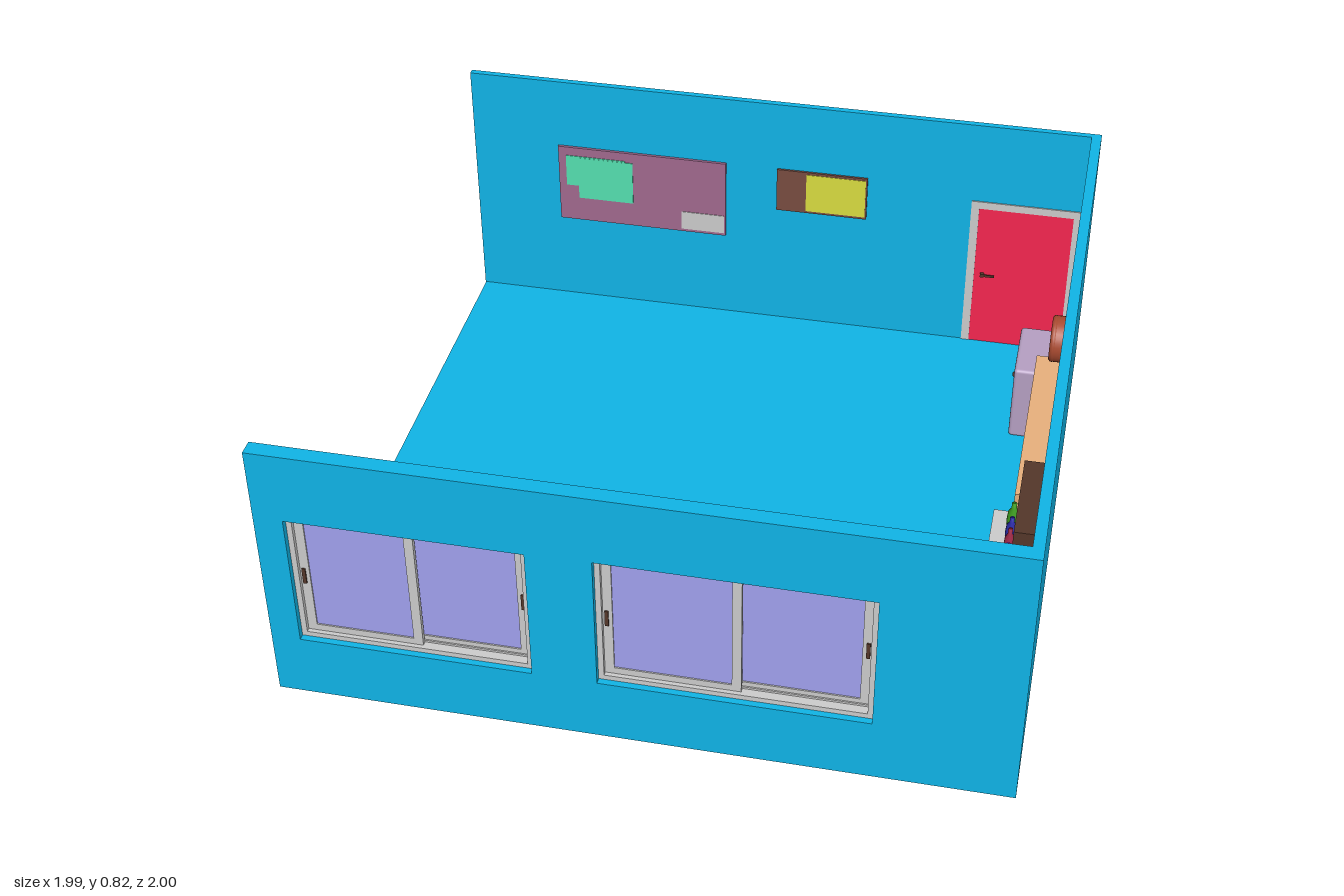
import * as THREE from 'three';
import { RoundedBoxGeometry } from 'three/addons/geometries/RoundedBoxGeometry.js';

const mats = {};
const mat = (c) => (mats[c] ??= new THREE.MeshStandardMaterial({ color: c }));
const BLUE = 0x10b4e6, GREY = 0xcccccc, GLASS = 0xa0a0ee, TAN = 0xe8b07c;
const BROWN = 0x54372a, BLACK = 0x0c0c0c, RED = 0xf52650;

function add(parent, name, geometry, color) {
  const m = new THREE.Mesh(geometry, mat(color));
  m.name = name;
  parent.add(m);
  return m;
}

// Box given by its limits on each axis
function box(parent, name, color, x0, x1, y0, y1, z0, z1) {
  const m = add(parent, name, new THREE.BoxGeometry(x1 - x0, y1 - y0, z1 - z0), color);
  m.position.set((x0 + x1) / 2, (y0 + y1) / 2, (z0 + z1) / 2);
  return m;
}

function rect(target, x0, x1, y0, y1) {
  target.moveTo(x0, y0).lineTo(x1, y0).lineTo(x1, y1).lineTo(x0, y1).closePath();
  return target;
}

// Upright panel in the XY plane with rectangular openings
function panel(parent, name, color, outer, holes, z0, z1) {
  const shape = rect(new THREE.Shape(), ...outer);
  holes.forEach((h) => shape.holes.push(rect(new THREE.Path(), ...h)));
  const m = add(parent, name, new THREE.ExtrudeGeometry(shape, { depth: z1 - z0, bevelEnabled: false }), color);
  m.position.z = z0;
  return m;
}

// Sliding window: outer frame, rail and two sashes with pulls
function slidingWindow(parent, name, x0, x1, y0, y1) {
  const g = new THREE.Group();
  g.name = name;
  parent.add(g);
  const t = 0.015, mid = (x0 + x1) / 2;
  panel(g, 'windowFrame', GREY, [x0, x1, y0, y1], [[x0 + t, x1 - t, y0 + t, y1 - t]], 0.93, 0.982);
  box(g, 'slidingRail', GREY, x0 + t, x1 - t, y0 + t, y0 + t + 0.006, 0.953, 0.957);
  const sashes = [[x0 + t, mid + 0.015, 0.957], [mid - 0.015, x1 - t, 0.94]];
  sashes.forEach(([a, b, z], i) => {
    const inner = [a + 0.025, b - 0.025, y0 + 0.035, y1 - 0.025];
    panel(g, 'sash', GREY, [a, b, y0 + t, y1 - t], [inner], z, z + 0.013);
    box(g, 'glass', GLASS, ...inner, z + 0.004, z + 0.009);
    const px = i ? b - 0.01 : a + 0.01, cy = (y0 + y1) / 2;
    box(g, 'pull', BROWN, px - 0.005, px + 0.005, cy - 0.025, cy + 0.025, z - 0.004, z + 0.017);
  });
}

function buildShell(g) {
  const openings = [[-0.92, -0.285, 0.2, 0.61], [-0.11, 0.61, 0.2, 0.615]];
  box(g, 'floor', BLUE, -0.998, 0.98, 0, 0.02, -0.98, 0.99);
  panel(g, 'frontWall', BLUE, [-1, 0.99, 0.01, 0.82], openings, 0.955, 1);
  box(g, 'sideWall', BLUE, 0.96, 0.99, 0.01, 0.82, -0.99, 0.956);
  box(g, 'backWall', BLUE, -1, 0.961, 0.01, 0.82, -0.99, -0.97);
  box(g, 'windowLedge', BLUE, -1, 0.61, 0.02, 0.195, 0.915, 0.956);
  openings.forEach((o, i) => slidingWindow(g, i ? 'leftWindow' : 'rightWindow', ...o));
}

function buildDoor(g) {
  const d = new THREE.Group();
  d.name = 'door';
  g.add(d);
  for (const [a, b] of [[0.615, 0.64], [0.935, 0.96]])
    box(d, 'doorJamb', GREY, a, b, 0.01, 0.55, -0.998, -0.966);
  box(d, 'doorLintel', GREY, 0.64, 0.935, 0.525, 0.55, -0.998, -0.966);
  box(d, 'doorLeaf', RED, 0.64, 0.935, 0.01, 0.525, -0.993, -0.968);
  // Lever handles on both faces
  for (const [a, b, s] of [[-1, -0.992, -0.9985], [-0.969, -0.958, -0.96]]) {
    box(d, 'handleStem', BROWN, 0.66, 0.672, 0.274, 0.286, a, b);
    box(d, 'handleLever', BROWN, 0.66, 0.705, 0.276, 0.284, s - 0.0015, s + 0.0015);
  }
}

function buildNoticeBoards(g) {
  box(g, 'largeNoticeBoard', 0xa0688e, -0.72, -0.17, 0.32, 0.59, -0.97, -0.961);
  box(g, 'greenSheet', 0x54e0b0, -0.695, -0.5, 0.45, 0.56, -0.961, -0.959);
  box(g, 'greenSheet', 0x54e0b0, -0.655, -0.475, 0.405, 0.555, -0.961, -0.9585);
  box(g, 'greySheet', GREY, -0.315, -0.175, 0.33, 0.395, -0.961, -0.959);
  box(g, 'smallNoticeBoard', 0x784c40, -0.005, 0.285, 0.44, 0.59, -0.97, -0.963);
  box(g, 'yellowSheet', 0xd8dc40, 0.09, 0.28, 0.448, 0.582, -0.963, -0.9615);
}

function buildClock(g) {
  const c = new THREE.Group();
  c.name = 'wallClock';
  const disc = (name, r, h, y, color) => {
    add(c, name, new THREE.CylinderGeometry(r, r, h, 32), color).position.y = y;
  };
  disc('clockBody', 0.067, 0.025, 0.0125, 0xa84a30);
  const rim = add(c, 'clockRim', new THREE.TorusGeometry(0.058, 0.01, 10, 32), 0xa84a30);
  rim.rotation.x = Math.PI / 2;
  rim.position.y = 0.03;
  disc('clockFace', 0.05, 0.004, 0.027, 0x8c8c8c);
  for (const [angle, length] of [[0, 0.04], [2, 0.028]]) {
    const hand = add(c, 'clockHand', new THREE.BoxGeometry(length, 0.003, 0.006).translate(length / 2, 0.031, 0), BLACK);
    hand.rotation.y = angle;
  }
  c.rotation.z = Math.PI / 2; // face towards -x
  c.position.set(0.96, 0.56, -0.267);
  g.add(c);
}

// Framed dark panel hung on the side wall, facing -x
function wallScreen(g, name, color, x0, y0, y1, z0, z1, t, recess) {
  const s = new THREE.Group();
  s.name = name;
  g.add(s);
  box(s, 'frameTop', color, x0, 0.96, y1 - t, y1, z0, z1);
  box(s, 'frameBottom', color, x0, 0.96, y0, y0 + t, z0, z1);
  box(s, 'frameSide', color, x0, 0.96, y0 + t, y1 - t, z0, z0 + t);
  box(s, 'frameSide', color, x0, 0.96, y0 + t, y1 - t, z1 - t, z1);
  box(s, 'darkPanel', BLACK, x0 + recess, 0.96, y0 + t, y1 - t, z0 + t, z1 - t);
}

function buildShelves(g) {
  const colors = [0x3c9c1e, 0x2a2aa8, 0xa02848, 0xb030b0, 0xb02050];
  const profile = [[0, 0], [1, 0], [1.1, 0.25], [0.95, 0.6], [0.45, 0.78], [0.45, 1], [0, 1]];
  for (const y of [0.295, 0.405]) {
    box(g, 'shelf', GREY, 0.835, 0.96, y, y + 0.022, 0.365, 0.805);
    colors.forEach((color, i) => {
      const r = 0.0155 - i * 0.001, h = 0.075 - (i % 2) * 0.006;
      const pts = profile.map(([px, py]) => new THREE.Vector2(px * r, py * h));
      const b = add(g, 'bottle', new THREE.LatheGeometry(pts, 16), color);
      b.position.set(0.89, y + 0.022, 0.42 + i * 0.0525);
    });
  }
}

function buildCabinet(g) {
  const c = add(g, 'smallCabinet', new RoundedBoxGeometry(0.1, 0.25, 0.235, 3, 0.01), 0xb59fc2);
  c.position.set(0.868, 0.145, -0.603);
  const knob = add(g, 'cabinetKnob', new THREE.SphereGeometry(0.01, 14, 10), BROWN);
  knob.position.set(0.818, 0.17, -0.603);
}

export function createModel() {
  const g = new THREE.Group();
  g.name = 'room';
  buildShell(g);
  buildDoor(g);
  buildNoticeBoards(g);
  buildClock(g);
  wallScreen(g, 'blackboard', TAN, 0.885, 0.17, 0.455, -0.32, 0.325, 0.018, 0.012);
  wallScreen(g, 'television', BROWN, 0.905, 0.53, 0.67, 0.445, 0.735, 0.012, 0.004);
  buildShelves(g);
  buildCabinet(g);
  return g;
}
